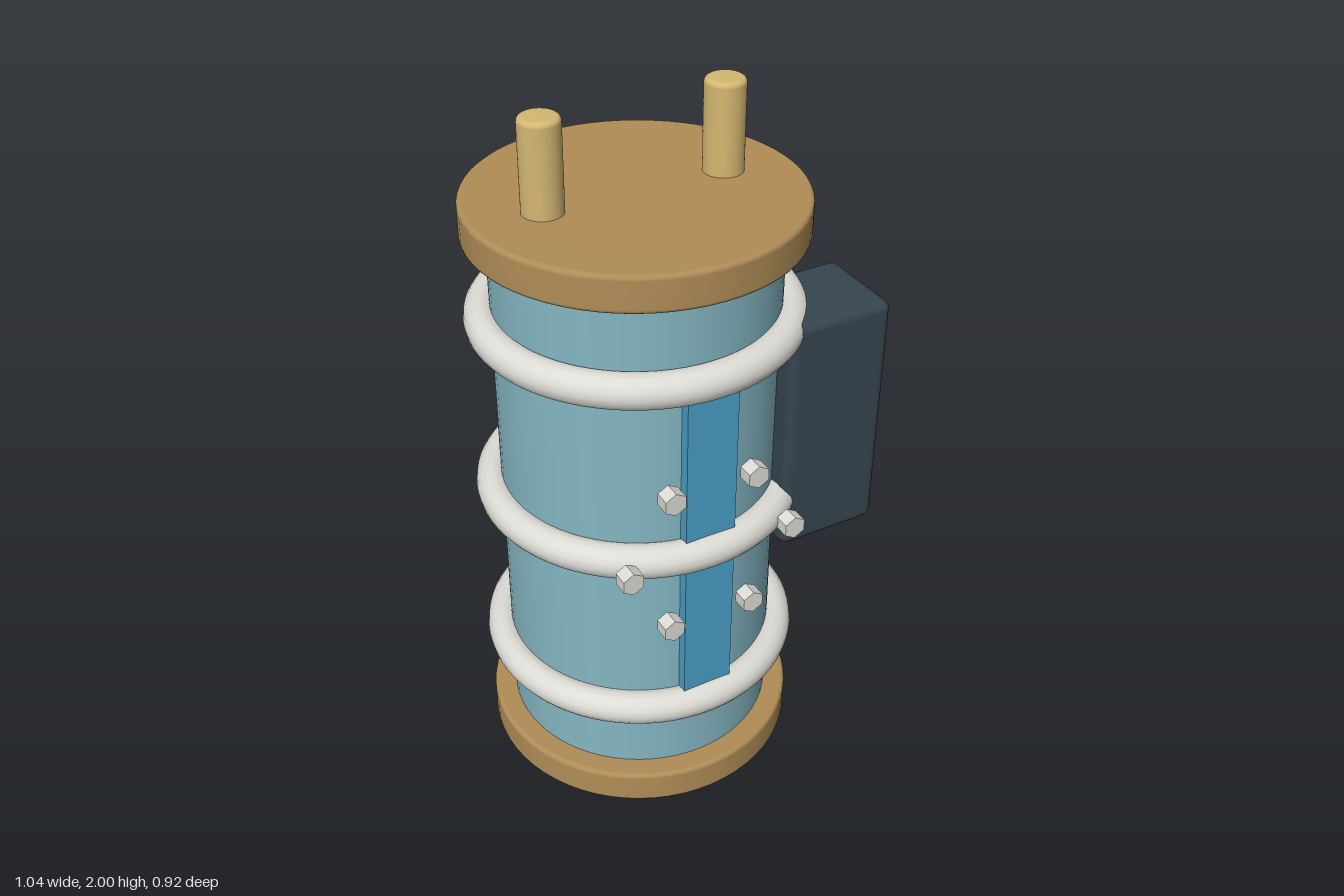
import * as THREE from 'three';
import { RoundedBoxGeometry } from 'three/addons/geometries/RoundedBoxGeometry.js';

const AXIS_X = -0.063;

function material(name, color) {
  const m = new THREE.MeshStandardMaterial({ color });
  m.name = name;
  return m;
}

// Solid disc or rod standing on y = 0, with rounded rims
function roundedCylinder(radius, height, bevel) {
  const points = [new THREE.Vector2(0, 0)];
  const arc = (cy, start) => {
    for (let i = 0; i <= 4; i++) {
      const a = start + (i / 4) * Math.PI / 2;
      points.push(new THREE.Vector2(radius - bevel + bevel * Math.cos(a), cy + bevel * Math.sin(a)));
    }
  };
  arc(bevel, -Math.PI / 2);
  arc(height - bevel, 0);
  points.push(new THREE.Vector2(0, height));
  return new THREE.LatheGeometry(points, 64);
}

export function createModel() {
  const model = new THREE.Group();
  model.name = 'canister';

  const glass = material('pale teal', 0x84b6c2);
  const bronze = material('bronze', 0xb08d57);
  const brass = material('light brass', 0xd4b872);
  const steel = material('pale steel', 0xdcdbd4);
  const slate = material('dark slate', 0x36454f);
  const blue = material('blue', 0x4a9fc6);

  const add = (name, geometry, mat, x, y, z) => {
    const mesh = new THREE.Mesh(geometry, mat);
    mesh.name = name;
    mesh.position.set(x, y, z);
    model.add(mesh);
    return mesh;
  };

  // Main tank and end caps
  add('tank', new THREE.CylinderGeometry(0.387, 0.387, 1.6, 64), glass, AXIS_X, 0.875, 0);
  const cap = roundedCylinder(0.452, 0.103, 0.013);
  add('bottomCap', cap, bronze, AXIS_X, 0, 0);
  add('topCap', cap, bronze, AXIS_X, 1.645, 0);

  // Terminal posts
  const post = roundedCylinder(0.055, 0.27, 0.014);
  for (const side of [-1, 1]) {
    add(side < 0 ? 'rightPost' : 'leftPost', post, brass, AXIS_X + side * 0.257, 1.73, 0);
  }

  // Hoops around the tank
  const hoop = new THREE.TorusGeometry(0.41, 0.048, 16, 72);
  hoop.rotateX(Math.PI / 2);
  for (const y of [0.343, 0.877, 1.41]) add('hoop', hoop, steel, AXIS_X, y, 0);

  // Front gauge strip
  add('gaugeStrip', new THREE.BoxGeometry(0.148, 1.07, 0.05), blue, AXIS_X, 0.877, 0.386);

  // Hexagonal bolts facing forward
  const bolt = new THREE.CylinderGeometry(0.034, 0.034, 0.045, 6).toNonIndexed();
  bolt.rotateX(Math.PI / 2);
  bolt.computeVertexNormals();
  for (const side of [-1, 1]) {
    for (const [dx, y] of [[0.123, 0.663], [0.246, 0.877], [0.123, 1.09]]) {
      add('bolt', bolt, steel, AXIS_X + side * dx, y, 0.42);
    }
  }

  // Control box on the front left
  add('controlBox', new RoundedBoxGeometry(0.308, 0.716, 0.275, 4, 0.028), slate, 0.366, 1.081, 0.206);

  return model;
}
